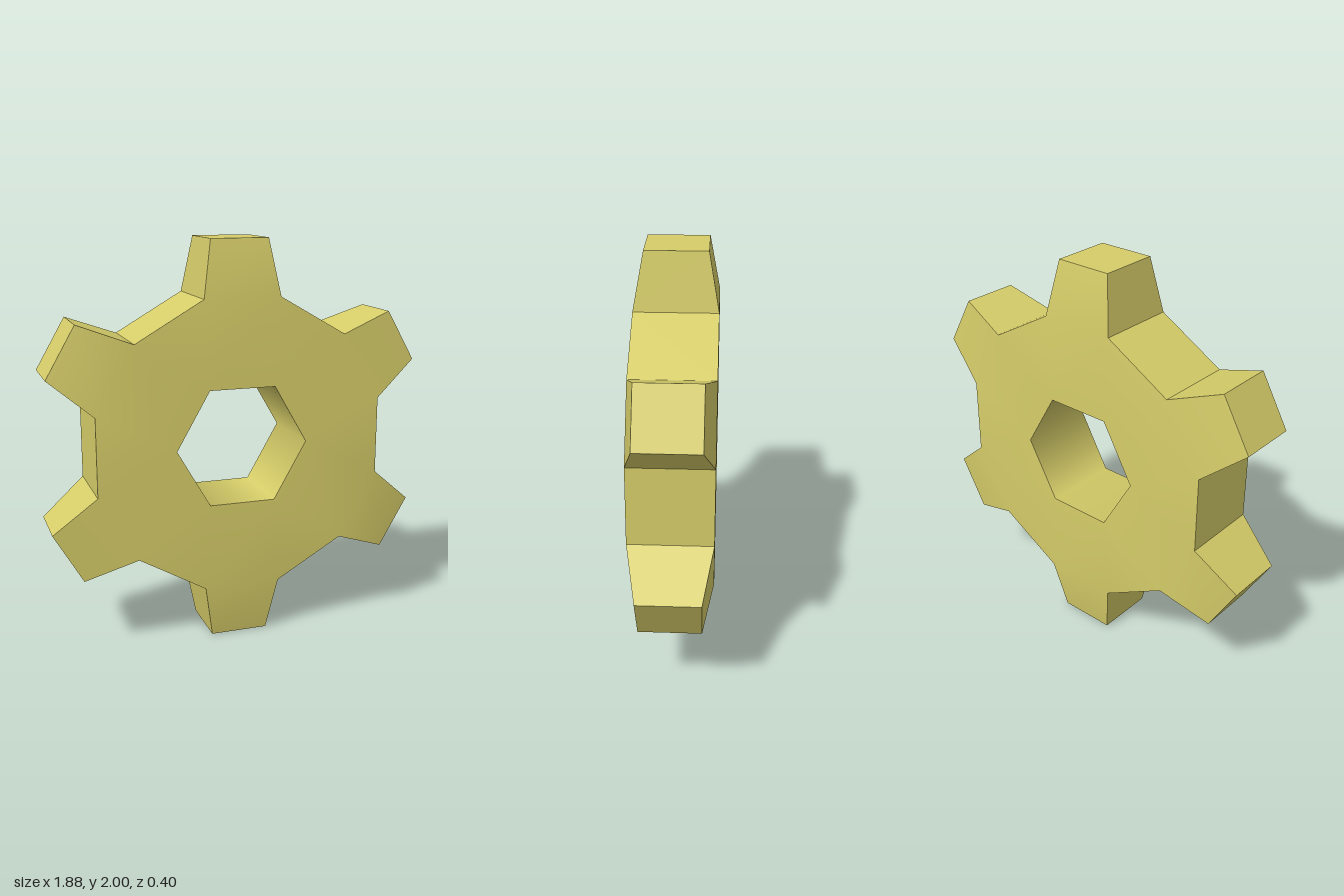
import * as THREE from 'three';
import { toCreasedNormals } from 'three/addons/utils/BufferGeometryUtils.js';

const TEETH = 6, STEP = (Math.PI * 2) / TEETH;
const ROOT = [0.193, 0.724], TIP = [0.145, 1.0]; // half width and radius of a tooth
const HALF_ROOT = 0.2, HALF_TIP = 0.15;          // half thickness at root and tip
const BORE = 0.333;

// Hub faces, gaps and tapered teeth, one sector per tooth
function gearGeometry() {
  const pos = [];
  const tri = (...pts) => pts.forEach(p => pos.push(p.x, p.y, p.z));
  const quad = (a, b, c, d) => { tri(a, b, c); tri(a, c, d); };

  for (let i = 0; i < TEETH; i++) {
    const at = (x, y, z, turn = i) =>
      new THREE.Vector3(x, y, z).applyAxisAngle(new THREE.Vector3(0, 0, 1), -turn * STEP);
    // Corners of the sector on the front (s = 1) or back (s = -1)
    const corners = s => ({
      hl: at(-BORE / 2, BORE * Math.cos(STEP / 2), s * HALF_ROOT),
      hr: at(BORE / 2, BORE * Math.cos(STEP / 2), s * HALF_ROOT),
      a: at(-ROOT[0], ROOT[1], s * HALF_ROOT),
      b: at(ROOT[0], ROOT[1], s * HALF_ROOT),
      c: at(-TIP[0], TIP[1], s * HALF_TIP),
      d: at(TIP[0], TIP[1], s * HALF_TIP),
      next: at(-ROOT[0], ROOT[1], s * HALF_ROOT, i + 1),
    });
    const f = corners(1), k = corners(-1);

    // Front and back faces
    quad(f.hl, f.hr, f.b, f.a);
    quad(f.a, f.b, f.d, f.c);
    tri(f.hr, f.next, f.b);
    quad(k.hr, k.hl, k.a, k.b);
    quad(k.b, k.a, k.c, k.d);
    tri(k.hr, k.b, k.next);

    // Tooth sides, tip, and the flat gap to the next tooth
    quad(f.b, k.b, k.d, f.d);
    quad(k.a, f.a, f.c, k.c);
    quad(f.c, f.d, k.d, k.c);
    quad(f.b, f.next, k.next, k.b);
  }
  const geo = new THREE.BufferGeometry();
  geo.setAttribute('position', new THREE.Float32BufferAttribute(pos, 3));
  return toCreasedNormals(geo, 0.5);
}

export function createModel() {
  const group = new THREE.Group();
  group.name = 'gear';
  const brass = new THREE.MeshStandardMaterial({ color: 0xd6cd69 });
  brass.name = 'brassYellow';

  const body = new THREE.Mesh(gearGeometry(), brass);
  body.name = 'toothedWheel';

  // Smooth-shaded hexagonal bore, facing inward
  const wall = [new THREE.Vector2(BORE, HALF_ROOT), new THREE.Vector2(BORE, -HALF_ROOT)];
  const bore = new THREE.Mesh(new THREE.LatheGeometry(wall, 6, Math.PI / 2), brass);
  bore.geometry.rotateX(Math.PI / 2);
  bore.name = 'bore';

  body.position.y = bore.position.y = 1;
  group.add(body, bore);
  return group;
}
